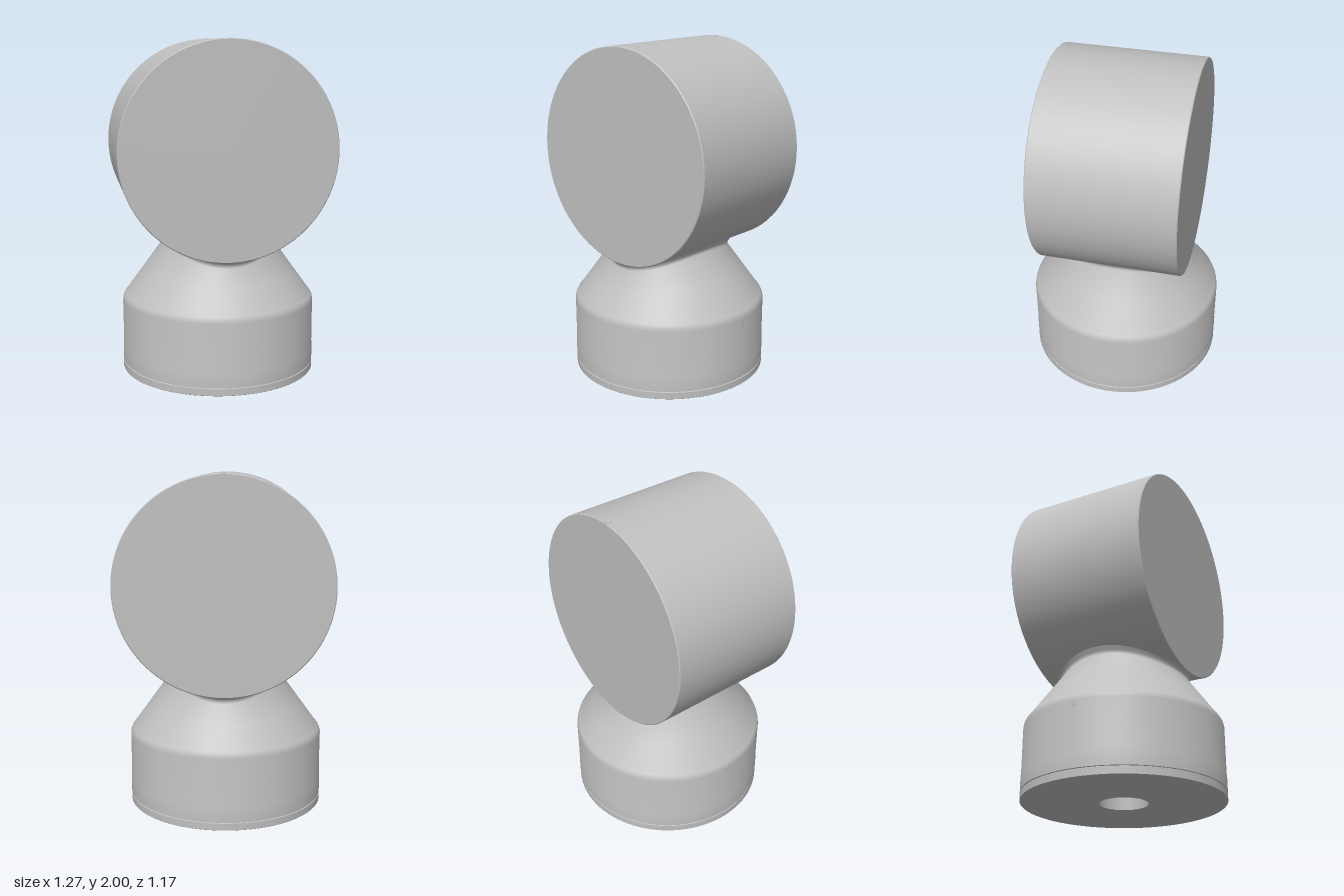
import * as THREE from 'three';
import { toCreasedNormals } from 'three/addons/utils/BufferGeometryUtils.js';

const SEGMENTS = 96;
const DRUM = { r: 0.635, y: 1.365, half: 0.42 };

// radius of the conical shoulder at height y
const coneRadius = (y) => 0.575 - (y - 0.455) * 0.72;

function lathe(points) {
  const profile = points.map(([r, y]) => new THREE.Vector2(r, y));
  return toCreasedNormals(new THREE.LatheGeometry(profile, SEGMENTS), 0.5);
}

// height of the drum's underside above a point at x
const drumUnderside = (x) => DRUM.y - Math.sqrt(DRUM.r ** 2 - x ** 2);

// cone that rises to the drum's underside and flares into it with a small fillet
function shoulderGeometry() {
  const rows = 6;
  const geometry = new THREE.CylinderGeometry(1, 1, 1, SEGMENTS, rows, true);
  const pos = geometry.attributes.position;
  for (let i = 0; i < pos.count; i++) {
    const row = Math.round((pos.getY(i) + 0.5) * rows);
    const cx = pos.getX(i), cz = pos.getZ(i);
    let seam = 0.78;
    for (let k = 0; k < 12; k++) seam = drumUnderside(coneRadius(seam - 0.03) * cx);
    const neck = seam - 0.035;
    const neckR = coneRadius(neck);
    const [r, y] = [
      [coneRadius(0.472), 0.472],
      [coneRadius((0.472 + neck) / 2), (0.472 + neck) / 2],
      [neckR, neck],
      [neckR - 0.003, neck + 0.01],
      [neckR, neck + 0.02],
      [neckR + 0.006, neck + 0.03],
      [neckR + 0.016, drumUnderside((neckR + 0.016) * cx) + 0.003],
    ][row];
    pos.setXYZ(i, r * cx, y, r * cz);
  }
  return toCreasedNormals(geometry, 0.8);
}

export function createModel() {
  const model = new THREE.Group();
  const grey = new THREE.MeshStandardMaterial({ color: 0xc0c0c0 });
  grey.name = 'plain grey';

  const add = (name, geometry, x = 0, y = 0, z = 0) => {
    const mesh = new THREE.Mesh(geometry, grey);
    mesh.name = name;
    mesh.position.set(x, y, z);
    model.add(mesh);
    return mesh;
  };

  // round foot with a blind socket below and a fine groove around it
  add('base', lathe([
    [0, 0.4], [0.14, 0.4], [0.14, 0], [0.585, 0], [0.587, 0.002],
    [0.587, 0.042], [0.581, 0.044], [0.581, 0.047], [0.587, 0.049],
    [0.587, 0.14], [0.585, 0.15], [0.585, 0.425],
    [0.582, 0.442], [0.575, 0.458], [coneRadius(0.472), 0.472],
  ]));

  add('shoulder', shoulderGeometry());

  // horizontal drum with a tiny bevel on both rims
  const { r, half } = DRUM;
  const drum = add('drum', lathe([
    [0, -half], [r - 0.005, -half], [r, -half + 0.005],
    [r, half - 0.005], [r - 0.005, half], [0, half],
  ]), 0, DRUM.y, 0);
  drum.rotation.x = Math.PI / 2;

  // small index marks on the drum's back rim and both sides of the foot
  add('drumMark', new THREE.BoxGeometry(0.03, 0.006, 0.038), 0, 1.998, -0.4);
  for (const side of [-1, 1]) {
    add('upperBaseMark', new THREE.BoxGeometry(0.006, 0.04, 0.024), side * 0.584, 0.41, 0);
    add('lowerBaseMark', new THREE.BoxGeometry(0.006, 0.04, 0.024), side * 0.585, 0.022, 0);
  }
  return model;
}
